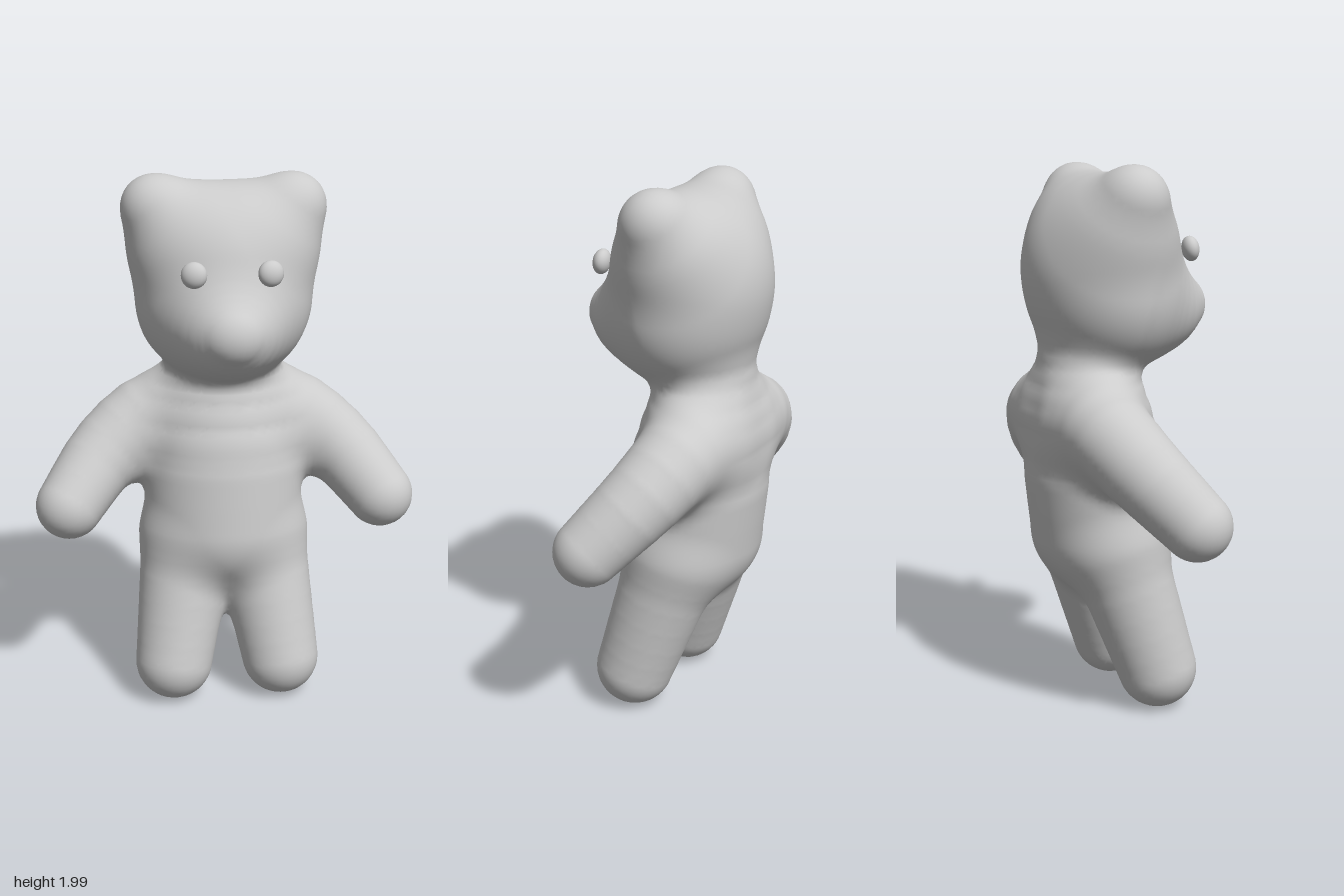
import * as THREE from 'three';

const V = (x, y, z) => new THREE.Vector3(x, y, z);

// Distance to a limb that tapers from radius ra at a to rb at b
function taper(a, ra, b, rb) {
  const ab = b.clone().sub(a), len2 = ab.lengthSq();
  return (x, y, z) => {
    const px = x - a.x, py = y - a.y, pz = z - a.z;
    const t = Math.min(1, Math.max(0, (px * ab.x + py * ab.y + pz * ab.z) / len2));
    return Math.hypot(px - t * ab.x, py - t * ab.y, pz - t * ab.z) - ra - (rb - ra) * t;
  };
}

// Distance to a curved limb through rows of [x, y, z, radius], optionally widened in x
function limb(rows, widen = 1) {
  const smooth = (pts) => new THREE.CatmullRomCurve3(pts, false, 'catmullrom').getPoints(8);
  const centres = smooth(rows.map((r) => V(r[0], r[1], r[2])));
  const radii = smooth(rows.map((r) => V(r[3], 0, 0))).map((p) => p.x);
  const parts = centres.slice(1).map((c, i) => taper(centres[i], radii[i], c, radii[i + 1]));
  return (x, y, z) => {
    let d = Infinity;
    for (const part of parts) d = Math.min(d, part(x / widen, y, z));
    return d;
  };
}

// Approximate distance to an ellipsoid
function ellipsoid(c, r) {
  return (x, y, z) => {
    const px = (x - c.x) / r.x, py = (y - c.y) / r.y, pz = (z - c.z) / r.z;
    const k0 = Math.hypot(px, py, pz), k1 = Math.hypot(px / r.x, py / r.y, pz / r.z);
    return k1 < 1e-6 ? -r.x : (k0 * (k0 - 1)) / k1;
  };
}

// Smooth union with blend width k
function blend(a, b, k) {
  const h = Math.max(k - Math.abs(a - b), 0) / k;
  return Math.min(a, b) - (h * h * k) / 4;
}

// Head: skull, cheeks and tapering snout
const skull = ellipsoid(V(0, 1.615, -0.064), V(0.322, 0.345, 0.287));
const cheeks = ellipsoid(V(0, 1.5, -0.06), V(0.3, 0.25, 0.235));
const snout = limb([[0, 1.5, -0.02, 0.245], [0, 1.475, 0.12, 0.19], [0, 1.475, 0.23, 0.118]], 1.08);
// Torso: neck, chest, belly
const torso = limb([[0, 1.34, -0.12, 0.17], [0, 1.16, -0.12, 0.2], [0, 0.93, -0.1, 0.25], [0, 0.66, -0.07, 0.253]], 1.17);
// Ears and limbs for each side
const sides = [-1, 1].map((s) => ({
  ear: limb([[s * 0.2, 1.79, -0.06, 0.13], [s * 0.256, 1.878, -0.05, 0.111]]),
  arm: limb([
    [s * 0.12, 1.08, -0.17, 0.165], [s * 0.27, 1.06, -0.165, 0.158],
    [s * 0.44, 0.945, -0.1, 0.142], [s * 0.585, 0.782, 0.025, 0.124],
  ]),
  leg: limb([[s * 0.204, 0.153, 0.065, 0.147], [s * 0.135, 0.6, -0.07, 0.18]]),
}));

function bearField(x, y, z) {
  let head = blend(blend(skull(x, y, z), cheeks(x, y, z), 0.06), snout(x, y, z), 0.08);
  let body = torso(x, y, z);
  for (const p of sides) {
    head = blend(head, p.ear(x, y, z), 0.16);
    body = blend(body, p.arm(x, y, z), 0.1);
    body = blend(body, p.leg(x, y, z), 0.07);
  }
  return blend(head, body, 0.05);
}

function gradient(f, p) {
  const e = 0.012;
  return V(
    f(p.x + e, p.y, p.z) - f(p.x - e, p.y, p.z),
    f(p.x, p.y + e, p.z) - f(p.x, p.y - e, p.z),
    f(p.x, p.y, p.z + e) - f(p.x, p.y, p.z - e),
  ).divideScalar(2 * e);
}

// Skins the zero level of a field: one vertex per crossed cell, one quad per crossed edge
function skin(f, min, max, h) {
  const n = ['x', 'y', 'z'].map((k) => Math.ceil((max[k] - min[k]) / h) + 1);
  const step = [1, n[0], n[0] * n[1]];
  const at = (i, j, k) => V(min.x + i * h, min.y + j * h, min.z + k * h);
  const val = new Float32Array(n[0] * n[1] * n[2]);
  const cell = new Int32Array(val.length).fill(-1);
  const each = (fn, lo, trim) => {
    for (let k = lo; k < n[2] - trim; k++)
      for (let j = lo; j < n[1] - trim; j++)
        for (let i = lo; i < n[0] - trim; i++) fn(i, j, k, i + j * step[1] + k * step[2]);
  };
  each((i, j, k, id) => {
    const p = at(i, j, k);
    val[id] = f(p.x, p.y, p.z);
  }, 0, 0);

  const pos = [], nor = [], index = [];
  each((i, j, k, id) => {
    const sum = V(0, 0, 0);
    let count = 0;
    for (let c = 0; c < 8; c++) {
      for (let a = 0; a < 3; a++) {
        if (c & (1 << a)) continue;
        const o = [c & 1, (c >> 1) & 1, (c >> 2) & 1];
        const q = id + o[0] + o[1] * step[1] + o[2] * step[2];
        const v0 = val[q], v1 = val[q + step[a]];
        if (v0 < 0 === v1 < 0) continue;
        o[a] += v0 / (v0 - v1);
        sum.add(at(i + o[0], j + o[1], k + o[2]));
        count++;
      }
    }
    if (!count) return;
    const p = sum.divideScalar(count);
    const g = gradient(f, p);
    p.addScaledVector(g, -f(p.x, p.y, p.z) / Math.max(g.lengthSq(), 0.2));
    cell[id] = pos.length / 3;
    pos.push(p.x, p.y, p.z);
    nor.push(...gradient(f, p).normalize().toArray());
  }, 0, 1);

  each((i, j, k, id) => {
    for (let a = 0; a < 3; a++) {
      const inside = val[id] < 0;
      if (inside === val[id + step[a]] < 0) continue;
      const u = step[(a + 1) % 3], v = step[(a + 2) % 3];
      const q = [cell[id - u - v], cell[id - v], cell[id], cell[id - u]];
      if (!inside) q.reverse();
      index.push(q[0], q[1], q[2], q[0], q[2], q[3]);
    }
  }, 1, 1);

  const geo = new THREE.BufferGeometry();
  geo.setAttribute('position', new THREE.Float32BufferAttribute(pos, 3));
  geo.setAttribute('normal', new THREE.Float32BufferAttribute(nor, 3));
  geo.setIndex(index);
  return geo;
}

export function createModel() {
  const group = new THREE.Group();
  group.name = 'teddyBear';
  const material = new THREE.MeshStandardMaterial({ color: 0xcccccc });

  // Head, torso, arms and legs as one soft skin
  const body = new THREE.Mesh(skin(bearField, V(-0.8, -0.06, -0.45), V(0.8, 2.08, 0.45), 0.022), material);
  body.name = 'body';
  group.add(body);

  // Button eyes, turned slightly outward
  for (const s of [-1, 1]) {
    const eye = new THREE.Mesh(new THREE.SphereGeometry(0.046, 24, 16), material);
    eye.name = s > 0 ? 'leftEye' : 'rightEye';
    eye.scale.z = 0.7;
    eye.position.set(s * 0.133, 1.688, 0.23);
    eye.rotation.set(-0.15, s * 0.25, 0);
    group.add(eye);
  }
  return group;
}
